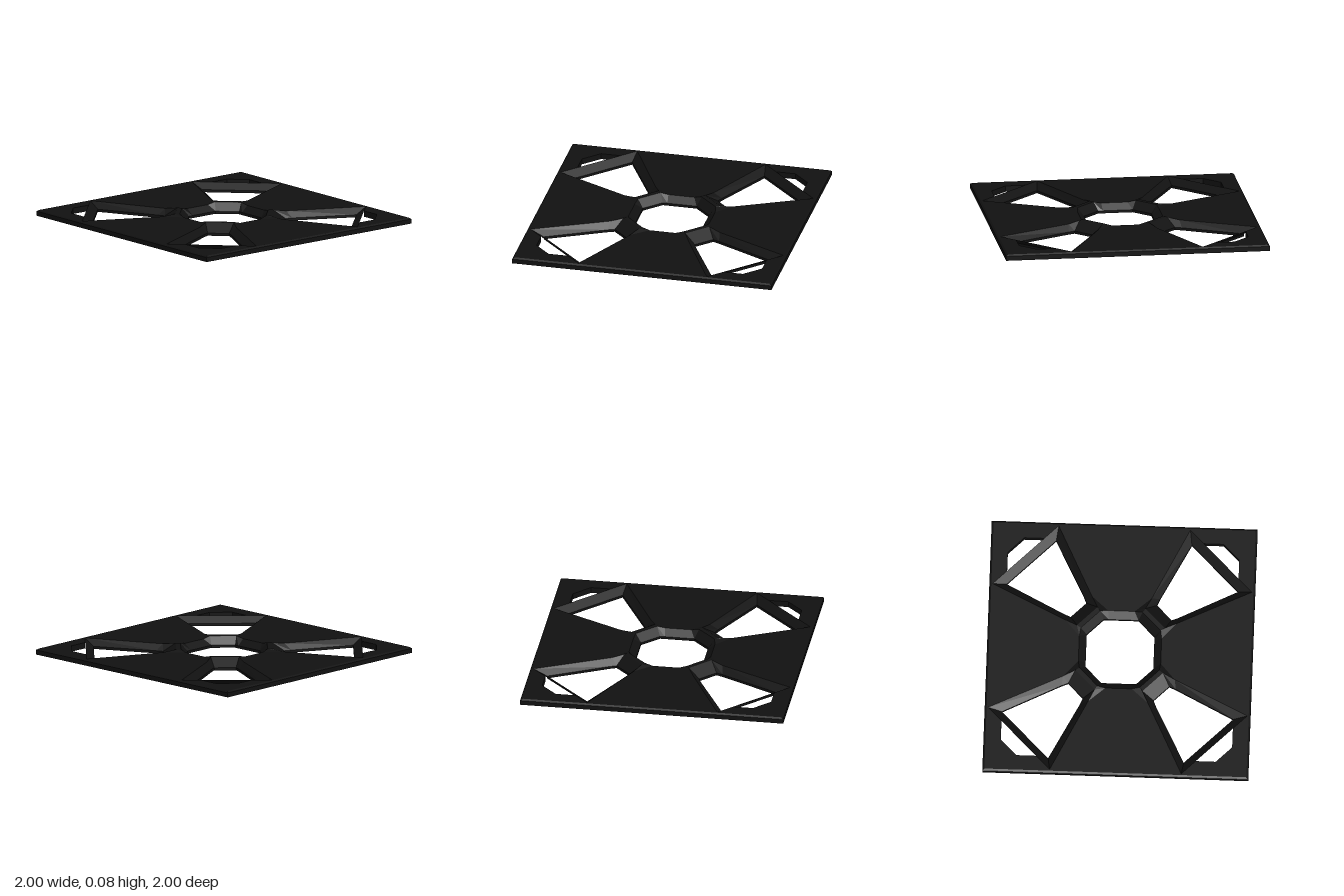
import * as THREE from 'three';

const TOP = 0.065, RIM = 0.02, CREST = 0.08;

export function createModel() {
  const group = new THREE.Group();
  const material = new THREE.MeshStandardMaterial({ color: 0x111111, side: THREE.DoubleSide });

  const add = (name, geometry, parent = group) => {
    const mesh = new THREE.Mesh(geometry, material);
    mesh.name = name;
    parent.add(mesh);
    return mesh;
  };

  // Sheet surface joining successive cross-section loops of [x, y, z] points
  const loft = (loops, closed = true) => {
    const pos = [];
    for (let k = 0; k < loops.length - 1; k++) {
      const a = loops[k], b = loops[k + 1], n = a.length;
      for (let i = 0; i < (closed ? n : n - 1); i++) {
        const j = (i + 1) % n;
        pos.push(...a[i], ...a[j], ...b[j], ...a[i], ...b[j], ...b[i]);
      }
    }
    const g = new THREE.BufferGeometry();
    g.setAttribute('position', new THREE.Float32BufferAttribute(pos, 3));
    g.computeVertexNormals();
    return g;
  };
  const level = (points, y) => points.map(([x, z]) => [x, y, z]);
  // Repeat the points of one quadrant around the centre
  const around = (points) => {
    const out = [];
    let q = points;
    for (let i = 0; i < 4; i++) {
      out.push(...q);
      q = q.map((p) => (p.length === 3 ? [-p[2], p[1], p[0]] : [-p[1], p[0]]));
    }
    return out;
  };

  // Flat top sheet, with one star-shaped opening for all the cut-outs
  const cornerEdge = [[0.87, 0.6], [0.87, 0.75], [0.75, 0.87], [0.6, 0.87]];
  const opening = around([
    [0.31, 0.1], [0.42, 0.225], [0.975, 0.495], ...cornerEdge,
    [0.495, 0.975], [0.225, 0.42], [0.1, 0.31],
  ]);
  const square = (s) => [[s, s], [s, -s], [-s, -s], [-s, s]];
  const toVec = (pts) => pts.map(([x, z]) => new THREE.Vector2(x, -z));
  const sheet = new THREE.Shape(toVec(square(0.985)));
  sheet.holes.push(new THREE.Path(toVec(opening)));
  add('topSheet', new THREE.ShapeGeometry(sheet).rotateX(-Math.PI / 2).translate(0, TOP, 0));

  // Bevelled outer lip, turned down
  add('outerLip', loft([
    level(square(0.985), TOP), level(square(1), 0.055), level(square(1), RIM),
  ]));

  // Octagonal centre opening, sloping down to a straight collar
  const octagonTop = around([
    [0.31, TOP, 0.1], [0.3, CREST, 0.16], [0.16, CREST, 0.3], [0.1, TOP, 0.31],
  ]);
  const octagonLow = around([[0.255, 0.095], [0.255, 0.13], [0.13, 0.255], [0.095, 0.255]]);
  add('centreCollar', loft([octagonTop, level(octagonLow, RIM), level(octagonLow, 0)]));

  // One set of diagonal parts for each corner
  const windowTop = [
    [0.42, TOP, 0.225], [0.975, TOP, 0.495], [0.495, TOP, 0.975],
    [0.225, TOP, 0.42], [0.18, CREST, 0.33], [0.33, CREST, 0.18],
  ];
  const windowLow = [
    [0.43, 0.286], [0.87, 0.51], [0.51, 0.87], [0.286, 0.43], [0.265, 0.38], [0.38, 0.265],
  ];
  for (let i = 0; i < 4; i++) {
    const corner = new THREE.Group();
    corner.name = 'corner';
    corner.rotation.y = i * Math.PI / 2;
    // Tapered window with sloping sides
    add('windowFrame', loft([windowTop, level(windowLow, RIM), level(windowLow, 0)]), corner);
    // Raised bridge between the window and the centre opening
    add('raisedBridge', loft([
      [[0.31, TOP, 0.1], [0.3, CREST, 0.16], [0.16, CREST, 0.3], [0.1, TOP, 0.31]],
      [[0.42, TOP, 0.225], [0.33, CREST, 0.18], [0.18, CREST, 0.33], [0.225, TOP, 0.42]],
    ], false), corner);
    // Turned-down edge of the small corner cut-out
    add('cornerLip', loft([level(cornerEdge, TOP), level(cornerEdge, RIM)], false), corner);
    group.add(corner);
  }
  return group;
}
